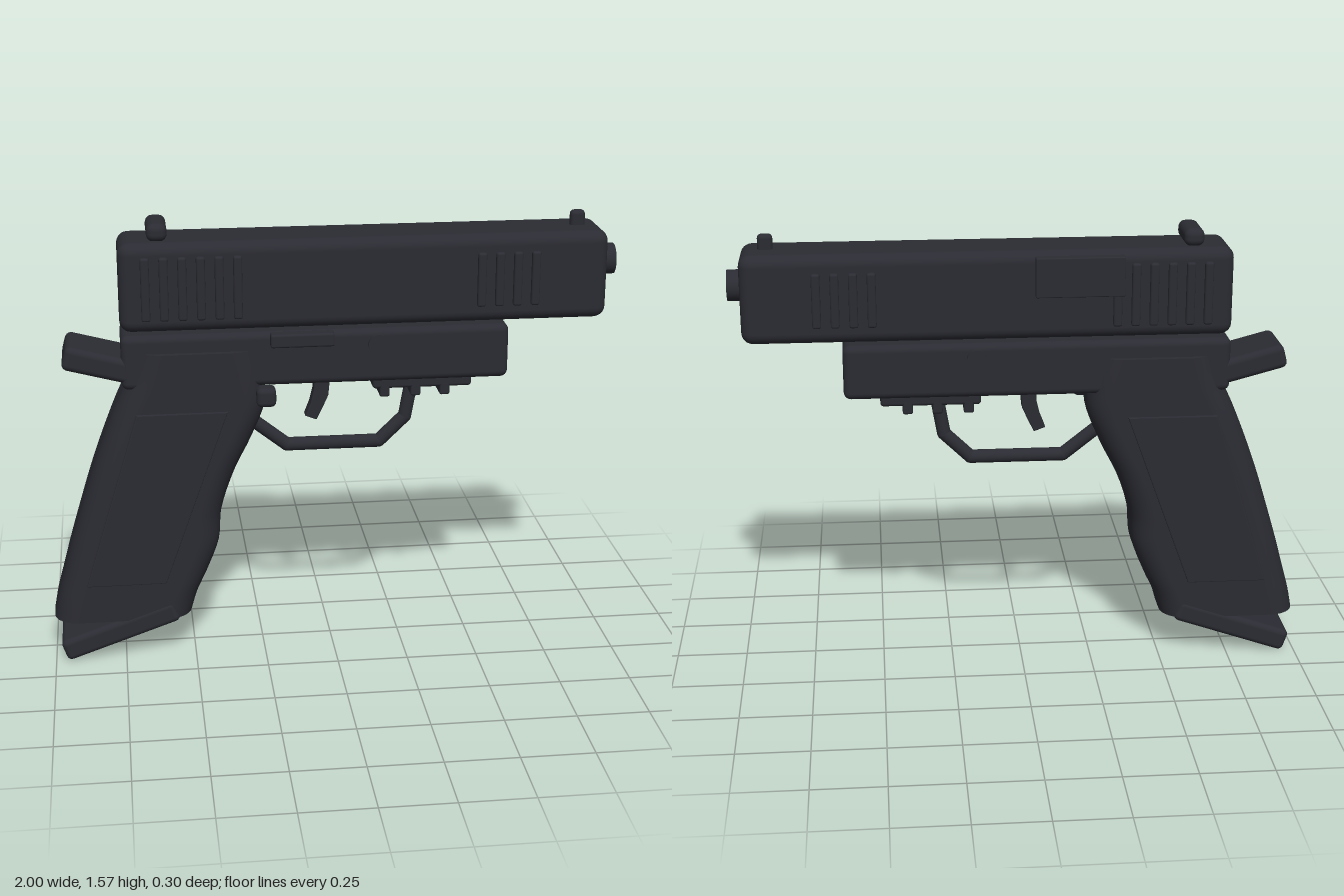
import * as THREE from 'three';
import { RoundedBoxGeometry } from 'three/addons/geometries/RoundedBoxGeometry.js';

const gunmetal = new THREE.MeshStandardMaterial({ color: 0x2b2c33 });
gunmetal.name = 'gunmetal';

export function createModel() {
  const model = new THREE.Group();
  model.name = 'pistol';

  const add = (name, geometry, x = 0, y = 0, z = 0) => {
    const mesh = new THREE.Mesh(geometry, gunmetal);
    mesh.name = name;
    mesh.position.set(x, y, z);
    model.add(mesh);
    return mesh;
  };
  // Rounded box given by its extents on each axis
  const block = (name, [x0, x1], [y0, y1], [z0, z1], r) =>
    add(name, new RoundedBoxGeometry(x1 - x0, y1 - y0, z1 - z0, 3, r),
      (x0 + x1) / 2, (y0 + y1) / 2, (z0 + z1) / 2);
  // Flat outline extruded along z, centred on z = 0
  const plate = (name, points, halfDepth) => {
    const shape = new THREE.Shape(points.map(([x, y]) => new THREE.Vector2(x, y)));
    const b = 0.004;
    const geo = new THREE.ExtrudeGeometry(shape, {
      depth: 2 * (halfDepth - b), bevelSize: b, bevelThickness: b, bevelOffset: -b, bevelSegments: 2,
    });
    return add(name, geo.translate(0, 0, b - halfDepth));
  };

  // Slide, muzzle and sights
  block('slide', [-0.73, 0.955], [1.205, 1.515], [-0.122, 0.122], 0.04);
  const muzzle = add('muzzle', new THREE.CylinderGeometry(0.054, 0.054, 0.12, 32), 0.94, 1.39, 0);
  muzzle.rotation.z = Math.PI / 2;
  block('rearSight', [-0.63, -0.56], [1.512, 1.574], [-0.087, 0.087], 0.025);
  block('frontSight', [0.84, 0.892], [1.5, 1.567], [-0.017, 0.017], 0.015);
  block('ejectionPort', [-0.35, -0.045], [1.36, 1.498], [-0.148, -0.1], 0.004);

  // Raised grip ribs on both sides of the slide
  for (const side of [-1, 1]) {
    const z = side * 0.122;
    for (let i = 0; i < 6; i++) {
      add('rearRib', new RoundedBoxGeometry(0.03, 0.22, 0.03, 2, 0.008), -0.64 + i * 0.0625, 1.36, z);
    }
    for (let i = 0; i < 4; i++) {
      add('frontRib', new RoundedBoxGeometry(0.03, 0.19, 0.03, 2, 0.008), 0.51 + i * 0.0625, 1.36, z);
    }
  }

  // Frame with its controls
  block('frame', [-0.73, 0.615], [1.0, 1.193], [-0.113, 0.113], 0.025);
  block('slideStop', [-0.22, 0.0], [1.145, 1.193], [0.1, 0.146], 0.008);
  block('magazineRelease', [-0.27, -0.202], [0.932, 1.0], [0.08, 0.147], 0.018);
  const pin = add('takedownPin', new THREE.CylinderGeometry(0.035, 0.035, 0.25, 24), 0.155, 1.14, 0);
  pin.rotation.x = Math.PI / 2;
  const tail = add('beavertail', new RoundedBoxGeometry(0.28, 0.085, 0.22, 3, 0.022), -0.79, 1.087, 0);
  tail.rotation.z = -0.26;

  // Accessory rail
  block('rail', [0.14, 0.49], [0.967, 1.01], [-0.09, 0.09], 0.012);
  for (const x of [0.183, 0.292, 0.395]) {
    block('railTooth', [x - 0.018, x + 0.018], [0.937, 0.985], [-0.09, 0.09], 0.008);
  }

  // Trigger
  plate('trigger', [[-0.055, 1.02], [0, 1.02], [-0.008, 0.93], [-0.028, 0.885], [-0.05, 0.84],
    [-0.09, 0.855], [-0.072, 0.9], [-0.06, 0.95]], 0.025);

  // Trigger guard: straight rods with round joints
  const guard = [[-0.3, 0.86], [-0.155, 0.745], [0.175, 0.745], [0.268, 0.835], [0.295, 0.99]]
    .map(([x, y]) => new THREE.Vector3(x, y, 0));
  const up = new THREE.Vector3(0, 1, 0);
  for (let i = 0; i < guard.length - 1; i++) {
    const dir = guard[i + 1].clone().sub(guard[i]);
    const mid = guard[i].clone().addScaledVector(dir, 0.5);
    const rod = add('triggerGuardRod', new THREE.CylinderGeometry(0.024, 0.024, dir.length(), 16), mid.x, mid.y, 0);
    rod.quaternion.setFromUnitVectors(up, dir.normalize());
    if (i > 0) add('triggerGuardJoint', new THREE.SphereGeometry(0.024, 16, 12), guard[i].x, guard[i].y, 0);
  }

  // Grip, side panels and magazine base
  add('grip', gripGeometry());
  plate('gripPanels', [[-0.685, 0.92], [-0.88, 0.285], [-0.6, 0.285], [-0.37, 0.92]], 0.138);
  const base = add('magazineBase', new RoundedBoxGeometry(0.43, 0.08, 0.27, 3, 0.02), -0.767, 0.104, 0);
  base.rotation.z = 0.335;

  return model;
}

// Loft of rounded rectangles between the back and front edge curves
function gripGeometry() {
  // Each row: height, back x, front x
  const rows = [[0.145, -1, -0.51], [0.22, -0.985, -0.487], [0.3, -0.963, -0.45], [0.42, -0.93, -0.405],
    [0.53, -0.897, -0.395], [0.68, -0.85, -0.345], [0.8, -0.807, -0.285], [0.93, -0.755, -0.235],
    [1.03, -0.71, -0.24], [1.13, -0.68, -0.262]];
  const back = new THREE.CatmullRomCurve3(rows.map(([y, b]) => new THREE.Vector3(b, y, 0)));
  const front = new THREE.CatmullRomCurve3(rows.map(([y, , f]) => new THREE.Vector3(f, y, 0)));
  const levels = 36, perCorner = 8, halfZ = 0.132, r = 0.09;
  const positions = [], index = [];

  const ring = (t) => {
    const b = back.getPoint(t), f = front.getPoint(t);
    const start = positions.length / 3;
    for (let c = 0; c < 4; c++) {
      const onFront = c === 0 || c === 3;
      const cx = onFront ? f.x - r : b.x + r;
      const cz = (c < 2 ? 1 : -1) * (halfZ - r);
      for (let k = 0; k <= perCorner; k++) {
        const a = (c + k / perCorner) * Math.PI / 2;
        const x = cx + r * Math.cos(a);
        const s = (x - b.x) / (f.x - b.x);
        positions.push(x, THREE.MathUtils.lerp(b.y, f.y, s), cz + r * Math.sin(a));
      }
    }
    return start;
  };

  const n = 4 * (perCorner + 1);
  for (let j = 0; j <= levels; j++) ring(j / levels);
  for (let j = 0; j < levels; j++) {
    for (let i = 0; i < n; i++) {
      const a = j * n + i, b = j * n + (i + 1) % n;
      index.push(a, a + n, b, b, a + n, b + n);
    }
  }
  // End caps on their own rings, so the rims stay sharp
  const bottom = ring(0), top = ring(1);
  for (let i = 1; i < n - 1; i++) {
    index.push(bottom, bottom + i, bottom + i + 1, top, top + i + 1, top + i);
  }

  const geo = new THREE.BufferGeometry();
  geo.setAttribute('position', new THREE.Float32BufferAttribute(positions, 3));
  geo.setIndex(index);
  geo.computeVertexNormals();
  return geo;
}
